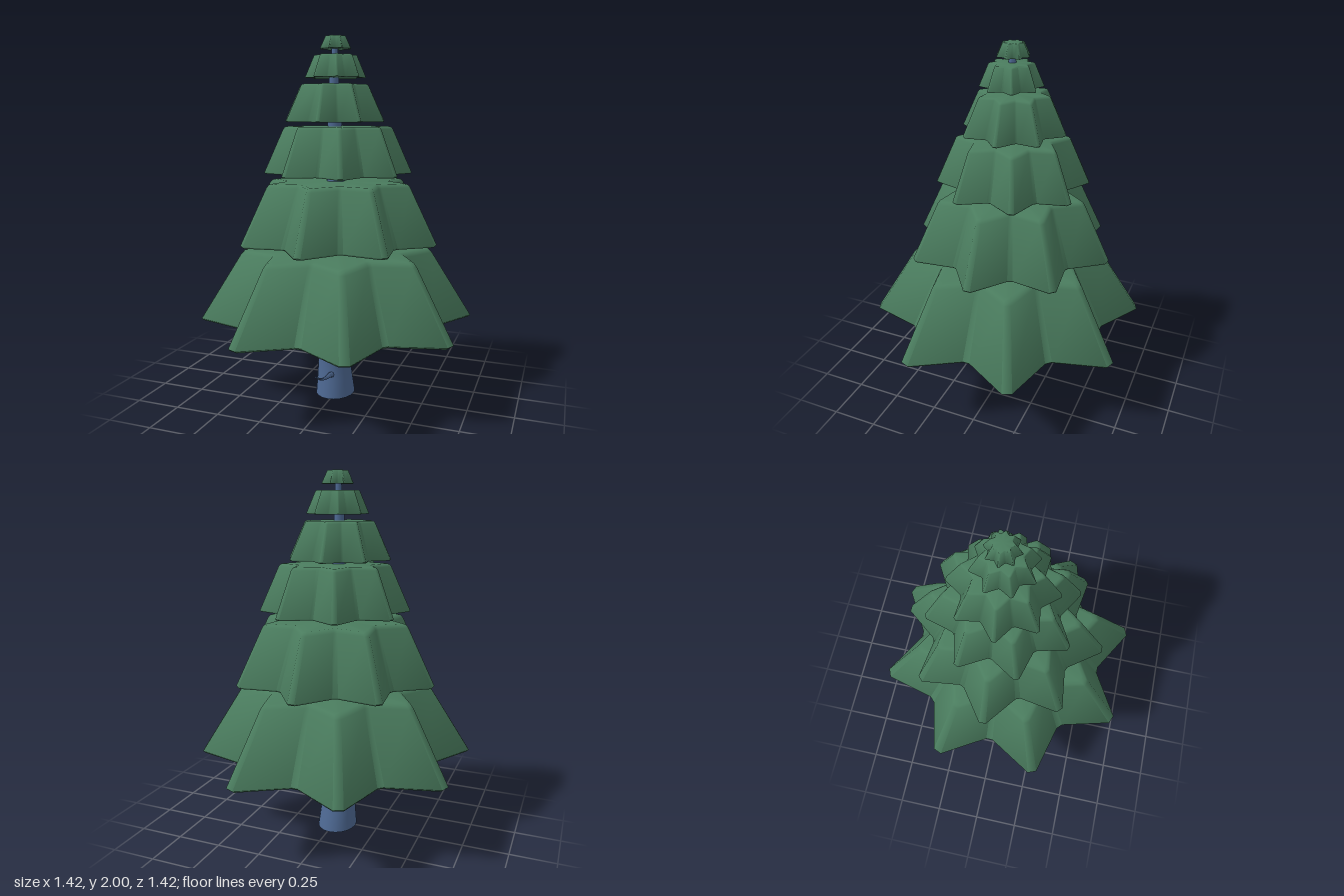
import * as THREE from 'three';
import { toCreasedNormals } from 'three/addons/utils/BufferGeometryUtils.js';

const needleMat = new THREE.MeshStandardMaterial({ color: 0x4a7c5e });
const barkMat = new THREE.MeshStandardMaterial({ color: 0x4d6892 });

// Closed solid skinned over a stack of rings (arrays of Vector3), capped at both ends.
function loft(rings, crease) {
  const n = rings[0].length;
  const pos = [];
  const index = [];
  const push = (p) => pos.push(p.x, p.y, p.z) / 3 - 1;
  const middle = (ring) =>
    ring.reduce((sum, p) => sum.add(p), new THREE.Vector3()).divideScalar(n);
  rings.forEach((ring) => ring.forEach(push));
  const bottom = push(middle(rings[0]));
  const top = push(middle(rings[rings.length - 1]));
  const last = (rings.length - 1) * n;
  for (let i = 0; i < n; i++) {
    const j = (i + 1) % n;
    for (let k = 0; k < last; k += n) {
      index.push(k + i, k + n + i, k + j, k + j, k + n + i, k + n + j);
    }
    index.push(bottom, i, j, top, last + j, last + i);
  }
  const geo = new THREE.BufferGeometry();
  geo.setAttribute('position', new THREE.Float32BufferAttribute(pos, 3));
  geo.setIndex(index);
  return toCreasedNormals(geo, crease);
}

// Eight-pointed star outline with blunted tips and valleys.
function starRing(cx, cz, y, r, turn) {
  const ring = [];
  for (let i = 0; i < 16; i++) {
    const radius = i % 2 ? r * 0.745 : r;
    for (const side of [-0.034, 0.034]) {
      const a = turn + (i * Math.PI) / 8 + side;
      ring.push(new THREE.Vector3(cx + radius * Math.cos(a), y, cz + radius * Math.sin(a)));
    }
  }
  return ring;
}

// Flared star-shaped layer of foliage with a softened upper rim.
function tier(cx, cz, y0, y1, r, topR, turn) {
  const h = y1 - y0;
  const rings = [
    [y0, r * 0.985],
    [y0 + h * 0.025, r],
    [y1 - h * 0.06, topR * 1.035],
    [y1 - h * 0.015, topR],
    [y1, topR * 0.94],
  ].map(([y, radius]) => starRing(cx, cz, y, radius, turn));
  return loft(rings, 1.0);
}

// Tapered twig following a curve.
function twig(points, r0, r1) {
  const curve = new THREE.CatmullRomCurve3(points.map((p) => new THREE.Vector3(...p)));
  const steps = 12;
  const rings = [];
  for (let s = 0; s <= steps; s++) {
    const t = s / steps;
    const c = curve.getPointAt(t);
    const d = curve.getTangentAt(t);
    const u = new THREE.Vector3(0, 1, 0).cross(d).normalize();
    const v = u.clone().cross(d);
    const r = THREE.MathUtils.lerp(r0, r1, Math.sqrt(t));
    rings.push(Array.from({ length: 8 }, (_, i) => {
      const a = (i * Math.PI) / 4;
      return c.clone().addScaledVector(u, r * Math.cos(a)).addScaledVector(v, r * Math.sin(a));
    }));
  }
  return loft(rings, 0.95);
}

export function createModel() {
  const tree = new THREE.Group();
  tree.name = 'pineTree';
  const add = (name, geo, mat) => {
    const mesh = new THREE.Mesh(geo, mat);
    mesh.name = name;
    tree.add(mesh);
  };

  // Slightly leaning trunk: height, centre x, centre z, radius x, radius z
  const trunk = [
    [0, -0.012, -0.008, 0.11, 0.128],
    [0.1, -0.014, -0.003, 0.1, 0.108],
    [0.2, -0.016, 0.003, 0.091, 0.093],
    [0.32, -0.014, 0.012, 0.083, 0.087],
    [0.45, -0.012, 0.014, 0.079, 0.084],
    [0.87, -0.008, 0.006, 0.064, 0.07],
    [1.2, -0.015, -0.024, 0.049, 0.048],
    [1.53, -0.02, -0.017, 0.04, 0.042],
    [1.76, -0.022, -0.012, 0.027, 0.03],
    [1.96, -0.018, -0.017, 0.015, 0.016],
  ];
  const trunkRings = trunk.map(([y, x, z, rx, rz]) =>
    Array.from({ length: 20 }, (_, i) => {
      const a = (i * Math.PI) / 10;
      return new THREE.Vector3(x + rx * Math.cos(a), y, z + rz * Math.sin(a));
    }));
  add('trunk', loft(trunkRings, 0.6), barkMat);

  // Bare twigs low on the trunk
  add('frontTwig', twig([
    [0, 0.125, 0.06], [0.002, 0.145, 0.12], [0.006, 0.157, 0.19],
    [0, 0.17, 0.25], [-0.008, 0.205, 0.312],
  ], 0.024, 0.004), barkMat);
  add('backTwig', twig([
    [-0.05, 0.295, -0.04], [-0.095, 0.32, -0.09], [-0.13, 0.345, -0.14],
    [-0.175, 0.358, -0.185], [-0.222, 0.374, -0.23],
  ], 0.022, 0.004), barkMat);

  // Foliage: centre x, centre z, bottom, top, lower radius, upper radius, turn
  const half = Math.PI / 8;
  [
    [0, 0, 0.447, 0.845, 0.76, 0.515, half],
    [-0.003, -0.02, 0.89, 1.222, 0.558, 0.395, 0.015],
    [-0.004, -0.028, 1.264, 1.522, 0.406, 0.29, half + 0.02],
    [-0.026, -0.022, 1.546, 1.746, 0.28, 0.188, -0.05],
    [-0.014, -0.015, 1.78, 1.9, 0.164, 0.113, half],
    [-0.017, -0.022, 1.932, 2, 0.088, 0.056, 0.03],
  ].forEach((t, i) => add(`foliageTier${i + 1}`, tier(...t), needleMat));

  return tree;
}
